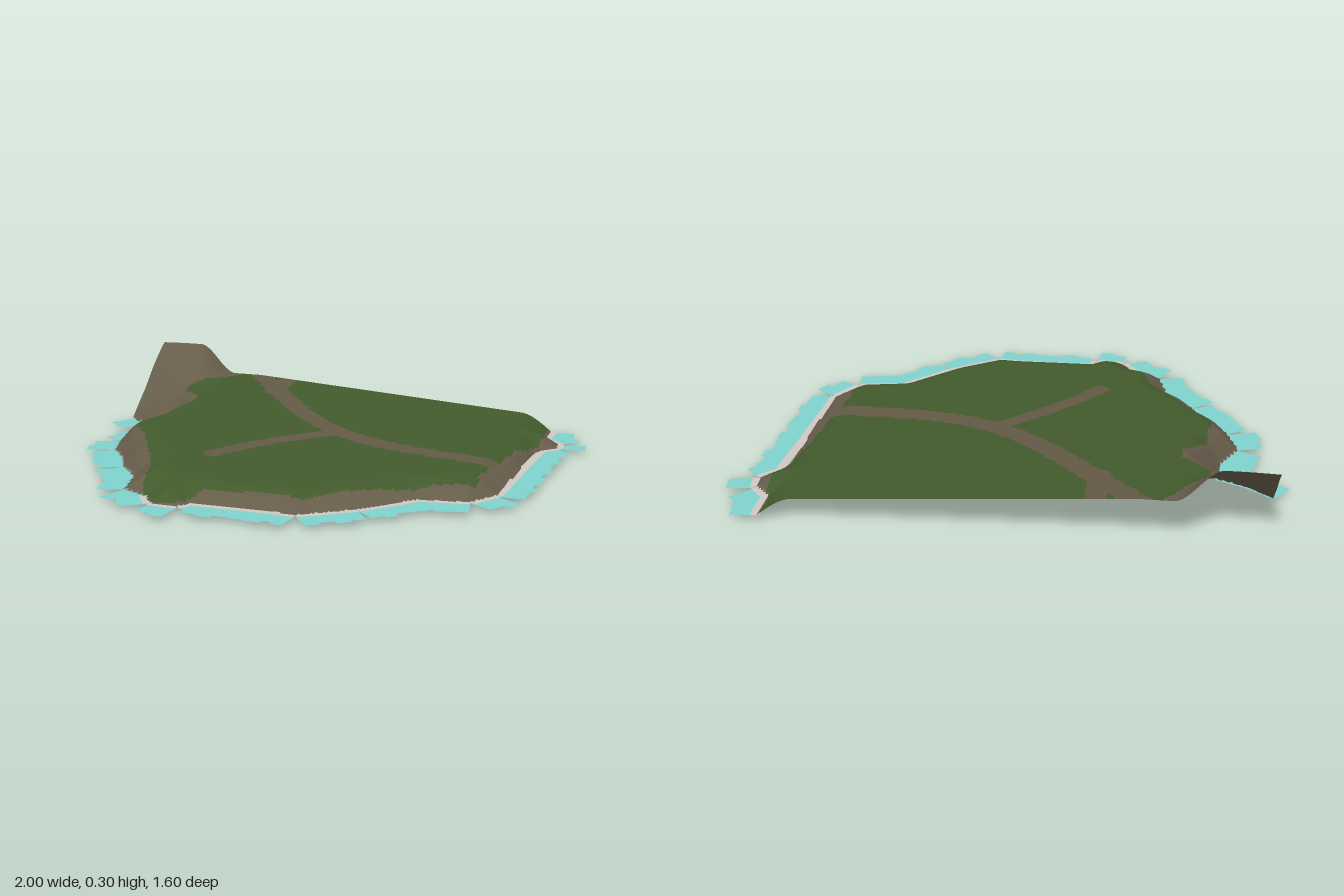
import * as THREE from 'three';

const mat = (name, color) => {
  const m = new THREE.MeshStandardMaterial({ color, side: THREE.DoubleSide });
  m.name = name;
  return m;
};

// Shoreline [x, z], from the back left round the front to the back right
const COAST = [
  [-0.96, -0.45], [-0.87, -0.38], [-0.76, -0.33], [-0.78, -0.2], [-0.84, -0.08], [-0.8, 0.05],
  [-0.72, 0.15], [-0.66, 0.27], [-0.56, 0.38], [-0.52, 0.55], [-0.41, 0.6], [-0.36, 0.68],
  [-0.25, 0.69], [-0.22, 0.64], [0.08, 0.64], [0.17, 0.65], [0.35, 0.52], [0.52, 0.34],
  [0.7, 0.31], [0.77, 0.2], [0.78, 0], [0.79, -0.2], [0.81, -0.47], [0.87, -0.53],
  [0.86, -0.6], [0.8, -0.66], [0.8, -0.8],
];
const LAND = [[-1.1, -1], [-1.1, -0.45], ...COAST, [0.8, -1]];

// Upper edge of the rocky rim
const MEADOW = [
  [-0.56, -1], [-0.58, -0.8], [-0.65, -0.7], [-0.73, -0.6], [-0.74, -0.52], [-0.64, -0.42],
  [-0.64, -0.35], [-0.72, -0.2], [-0.74, -0.02], [-0.66, 0.07], [-0.56, 0.25], [-0.48, 0.4],
  [-0.44, 0.57], [-0.36, 0.67], [-0.26, 0.67], [-0.2, 0.58], [0, 0.565], [0.17, 0.57],
  [0.3, 0.45], [0.45, 0.34], [0.55, 0.27], [0.7, 0.22], [0.69, 0.1], [0.72, -0.1],
  [0.74, -0.3], [0.79, -0.46], [0.82, -0.6], [0.79, -0.7], [0.79, -1],
];

// Footpaths: half width and centre line
const PATHS = [
  [0.045, [[-0.54, -0.86], [-0.35, -0.62], [-0.15, -0.37], [0.05, -0.19], [0.25, -0.1], [0.48, -0.06], [0.74, -0.04]]],
  [0.035, [[0.05, -0.17], [-0.08, -0.04], [-0.2, 0.1], [-0.3, 0.24]]],
  [0.04, [[-0.36, -0.6], [-0.36, -0.86]]],
];

function inside(poly, x, z) {
  let hit = false;
  poly.forEach(([ax, az], i) => {
    const [bx, bz] = poly[(i + 1) % poly.length];
    if ((az > z) !== (bz > z) && x < ax + ((z - az) / (bz - az)) * (bx - ax)) hit = !hit;
  });
  return hit;
}

function distance(line, x, z) {
  let best = Infinity;
  for (let i = 0; i < line.length - 1; i++) {
    const [ax, az] = line[i];
    const dx = line[i + 1][0] - ax, dz = line[i + 1][1] - az;
    const t = THREE.MathUtils.clamp(((x - ax) * dx + (z - az) * dz) / (dx * dx + dz * dz), 0, 1);
    best = Math.min(best, Math.hypot(x - ax - t * dx, z - az - t * dz));
  }
  return best;
}

const smooth = THREE.MathUtils.smoothstep;

// Shore level, with a slight dip on the right
const shore = (x, z) =>
  0.025 - 0.022 * smooth(x, 0.74, 0.82) * smooth(z, -0.46, -0.4) * (1 - smooth(z, -0.24, -0.18));

// Sloping meadow, steep rim and a knoll in the back left corner
function height(x, z) {
  const base = shore(x, z);
  if (!inside(LAND, x, z)) return base;
  const t = (z + 0.8) / 1.4;
  const meadow = 0.145 - 0.07 * t - (0.07 - 0.06 * t) * Math.max(x, -0.5);
  const knoll = 1 - smooth(x, -0.78, -0.62);
  const width = 0.13 + 0.12 * knoll * (1 - smooth(z, -0.5, -0.35));
  const ramp = Math.sin(Math.min(distance(COAST, x, z) / width, 1) * Math.PI / 2);
  const bump = 0.13 * knoll * (1 - smooth(z, -0.86, -0.56)) * (1 - 1.2 * (x + 0.83) ** 2) * 1.05;
  return base + (meadow - base) * ramp + bump;
}

// Line points smoothed by a spline
const spline = (pts) =>
  new THREE.CatmullRomCurve3(pts.map(([x, z]) => new THREE.Vector3(x, 0, z)))
    .getPoints(30).map((p) => [p.x, p.z]);

function terrain() {
  const step = 0.0125, x0 = -0.9625, z0 = -0.8, nx = 148, nz = 120;
  const paths = PATHS.map(([w, pts]) => [w, spline(pts)]);
  const pos = [], faces = [[], [], []];
  for (let j = 0; j <= nz; j++)
    for (let i = 0; i <= nx; i++) {
      const x = x0 + i * step, z = z0 + j * step;
      pos.push(x, height(x, z), z);
    }
  for (let j = 0; j < nz; j++)
    for (let i = 0; i < nx; i++) {
      const x = x0 + (i + 0.5) * step, z = z0 + (j + 0.5) * step;
      if (!inside(LAND, x, z)) continue;
      const kind = !inside(MEADOW, x, z) ? 1
        : paths.some(([w, line]) => distance(line, x, z) < w) ? 2 : 0;
      const a = j * (nx + 1) + i, b = a + nx + 1;
      faces[kind].push(a, b, a + 1, b, b + 1, a + 1);
    }
  const g = new THREE.BufferGeometry();
  g.setAttribute('position', new THREE.Float32BufferAttribute(pos, 3));
  g.setIndex(faces.flat());
  let start = 0;
  faces.forEach((f, k) => {
    g.addGroup(start, f.length, k);
    start += f.length;
  });
  g.computeVertexNormals();
  return g;
}

// Separate flat panels laid along the shore, fanning open at the corners
function shoreStrip(line, inner, outer, y, jitter) {
  const pos = [];
  let n = 0;
  for (let i = 0; i < line.length - 1; i++) {
    const [ax, az] = line[i];
    const dx = line[i + 1][0] - ax, dz = line[i + 1][1] - az;
    const len = Math.hypot(dx, dz), count = Math.max(1, Math.round(len / 0.055));
    const ox = -dz / len, oz = dx / len;
    for (let k = 0; k < count; k++, n++) {
      const out = outer + jitter * Math.sin(n * 2.3);
      const at = (t, o) => [ax + dx * t + ox * o, y, az + dz * t + oz * o];
      const a = at(k / count, inner), b = at((k + 1) / count, inner);
      const c = at((k + 1) / count, out), d = at(k / count, out);
      pos.push(...a, ...d, ...c, ...a, ...c, ...b);
    }
  }
  const g = new THREE.BufferGeometry();
  g.setAttribute('position', new THREE.Float32BufferAttribute(pos, 3));
  g.computeVertexNormals();
  return g;
}

export function createModel() {
  const group = new THREE.Group();
  group.name = 'headland';
  const add = (name, geometry, material) => {
    const mesh = new THREE.Mesh(geometry, material);
    mesh.name = name;
    group.add(mesh);
  };
  add('terrain', terrain(), [mat('grass', 0x425a2c), mat('rock', 0x665c4a), mat('path', 0x635946)]);
  add('shallowWater', shoreStrip(COAST, 0, 0.105, 0.022, 0.012), mat('water', 0x7fd2cd));
  add('beach', shoreStrip(COAST.slice(10), -0.01, 0.024, 0.026, 0), mat('sand', 0xd0c8c2));
  return group;
}
